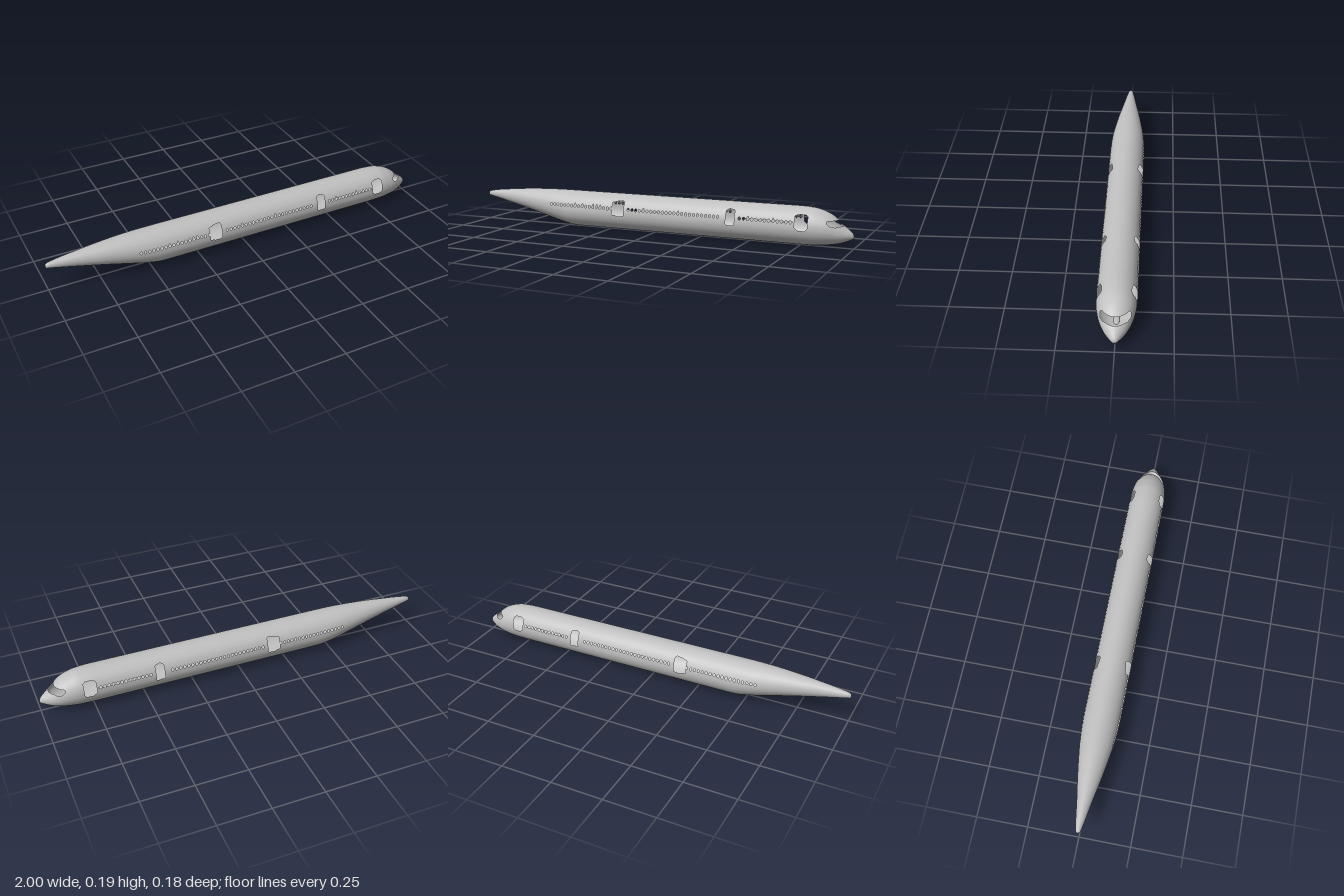
import * as THREE from 'three';
import { mergeVertices } from 'three/addons/utils/BufferGeometryUtils.js';

// Fuselage stations: x, top y, bottom y, half width
const STATIONS = [
  [-1, 0.138, 0.136, 0.001], [-0.997, 0.148, 0.126, 0.009], [-0.985, 0.153, 0.124, 0.013],
  [-0.85, 0.169, 0.095, 0.036], [-0.72, 0.179, 0.066, 0.059], [-0.6, 0.184, 0.036, 0.077],
  [-0.524, 0.185, 0.017, 0.086], [-0.45, 0.185, 0.004, 0.0905], [-0.42, 0.185, 0.003, 0.091],
  [0.74, 0.185, 0.003, 0.091], [0.81, 0.181, 0.004, 0.0885], [0.866, 0.166, 0.009, 0.08],
  [0.9, 0.149, 0.014, 0.07], [0.92, 0.134, 0.018, 0.061], [0.94, 0.116, 0.023, 0.051],
  [0.963, 0.097, 0.031, 0.036], [0.985, 0.08, 0.041, 0.02], [0.996, 0.068, 0.047, 0.01],
  [1, 0.056, 0.054, 0.001],
];

// Smooth interpolation of one column, with flat slopes at plateaus
function profile(x, col) {
  const P = STATIONS, n = P.length;
  let i = 0;
  while (i < n - 2 && x > P[i + 1][0]) i++;
  const secant = (k) => (P[k + 1][col] - P[k][col]) / (P[k + 1][0] - P[k][0]);
  const slope = (k) => {
    if (k === 0) return secant(0);
    if (k === n - 1) return secant(n - 2);
    const a = secant(k - 1), b = secant(k);
    return a * b <= 0 ? 0 : (2 * a * b) / (a + b);
  };
  const h = P[i + 1][0] - P[i][0], t = (x - P[i][0]) / h, s = 1 - t;
  return P[i][col] * s * s * (1 + 2 * t) + P[i + 1][col] * t * t * (3 - 2 * t)
    + h * t * s * (slope(i) * s - slope(i + 1) * t);
}

// Openings
const DOORS = [-0.163, 0.4255, 0.7725];
const DOOR = { y: 0.118, hw: 0.0215, hh: 0.0365, r: 0.006 };
const WINDOW = { y: 0.118, hw: 0.0055, hh: 0.0075 };
const windows = [];
for (const [start, count] of [[-0.561, 18], [-0.112, 24], [0.473, 13]])
  for (let i = 0; i < count; i++) windows.push(start + i * 0.0207);

function roundedBox(dx, dy, hw, hh, r) {
  const qx = Math.abs(dx) - hw + r, qy = Math.abs(dy) - hh + r;
  return Math.hypot(Math.max(qx, 0), Math.max(qy, 0)) + Math.min(Math.max(qx, qy), 0) - r;
}

// Positive on the skin, negative inside an opening
function skin(p) {
  let d = 1;
  if (p.x > 0.84) {
    const dy = p.y - 0.1175;
    return roundedBox(p.z, dy, 0.066, 0.0125, dy > 0 ? 0.012 : 0.004);
  }
  for (const x of DOORS) d = Math.min(d, roundedBox(p.x - x, p.y - DOOR.y, DOOR.hw, DOOR.hh, DOOR.r));
  for (const x of windows) {
    const e = Math.hypot((p.x - x) / WINDOW.hw, (p.y - WINDOW.y) / WINDOW.hh) - 1;
    d = Math.min(d, e * WINDOW.hw);
  }
  return d;
}

const sortedUnique = (list) => list.sort((a, b) => a - b).filter((v, i) => i === 0 || v - list[i - 1] > 1e-4);

// Lengthwise grid lines, denser at openings and the nose
function gridX() {
  const xs = STATIONS.map((s) => s[0]);
  for (let x = -0.98; x < 0.84; x += 0.04) xs.push(x);
  for (let x = 0.8; x < 1; x += 0.005) xs.push(x);
  for (const x of windows) for (const k of [-1, -0.7, 0, 0.7, 1]) xs.push(x + k * WINDOW.hw);
  for (const x of DOORS)
    for (const s of [-1, 1]) xs.push(x + s * DOOR.hw, x + s * (DOOR.hw - DOOR.r));
  return sortedUnique(xs);
}

// Grid angles around the section, mirrored on both flanks
function gridAngles() {
  const side = [];
  for (let i = 0; i <= 36; i++) side.push((-90 + i * 5) * Math.PI / 180);
  const atY = (y) => side.push(Math.asin((y - 0.094) / 0.091));
  for (let k = -4; k <= 3; k++) atY(WINDOW.y + k * WINDOW.hh / 3);
  for (const s of [-1, 1]) { atY(DOOR.y + s * DOOR.hh); atY(DOOR.y + s * (DOOR.hh - DOOR.r)); }
  const half = sortedUnique(side);
  return half.concat(half.slice(0, -1).reverse().map((a) => Math.PI - a));
}

// Keep the part of a polygon that lies on the skin
function clip(poly) {
  const out = [];
  poly.forEach((a, i) => {
    const b = poly[(i + 1) % poly.length];
    if (a.d >= 0) out.push(a.p);
    if ((a.d > 1e-9 && b.d < -1e-9) || (a.d < -1e-9 && b.d > 1e-9))
      out.push(a.p.clone().lerp(b.p, a.d / (a.d - b.d)));
  });
  return out;
}

function fuselageGeometry() {
  const angles = gridAngles();
  const rings = gridX().map((x) => {
    const top = profile(x, 1), bottom = profile(x, 2), w = profile(x, 3);
    return angles.map((a) => {
      const p = new THREE.Vector3(x, (top + bottom) / 2 + (top - bottom) / 2 * Math.sin(a), w * Math.cos(a));
      return { p, d: skin(p) };
    });
  });
  const pos = [];
  for (let i = 0; i < rings.length - 1; i++)
    for (let j = 0; j < angles.length - 1; j++) {
      const poly = clip([rings[i][j], rings[i + 1][j], rings[i + 1][j + 1], rings[i][j + 1]]);
      for (let k = 1; k < poly.length - 1; k++)
        for (const p of [poly[0], poly[k], poly[k + 1]]) pos.push(p.x, p.y, p.z);
    }
  const g = new THREE.BufferGeometry();
  g.setAttribute('position', new THREE.Float32BufferAttribute(pos, 3));
  const merged = mergeVertices(g, 1e-5);
  merged.computeVertexNormals();
  return merged;
}

export function createModel() {
  const group = new THREE.Group();
  group.name = 'airlinerFuselage';
  const grey = new THREE.MeshStandardMaterial({ color: 0xc0c0c0, side: THREE.DoubleSide });
  grey.name = 'light grey';

  // Hollow skin with door, cabin window and windscreen openings
  const fuselage = new THREE.Mesh(fuselageGeometry(), grey);
  fuselage.name = 'fuselage';
  group.add(fuselage);

  // Shallow blister under the nose
  const blister = new THREE.Mesh(new THREE.SphereGeometry(1, 24, 12), grey);
  blister.name = 'bellyBlister';
  blister.scale.set(0.03, 0.006, 0.014);
  blister.position.set(0.81, 0.006, 0);
  group.add(blister);
  return group;
}
